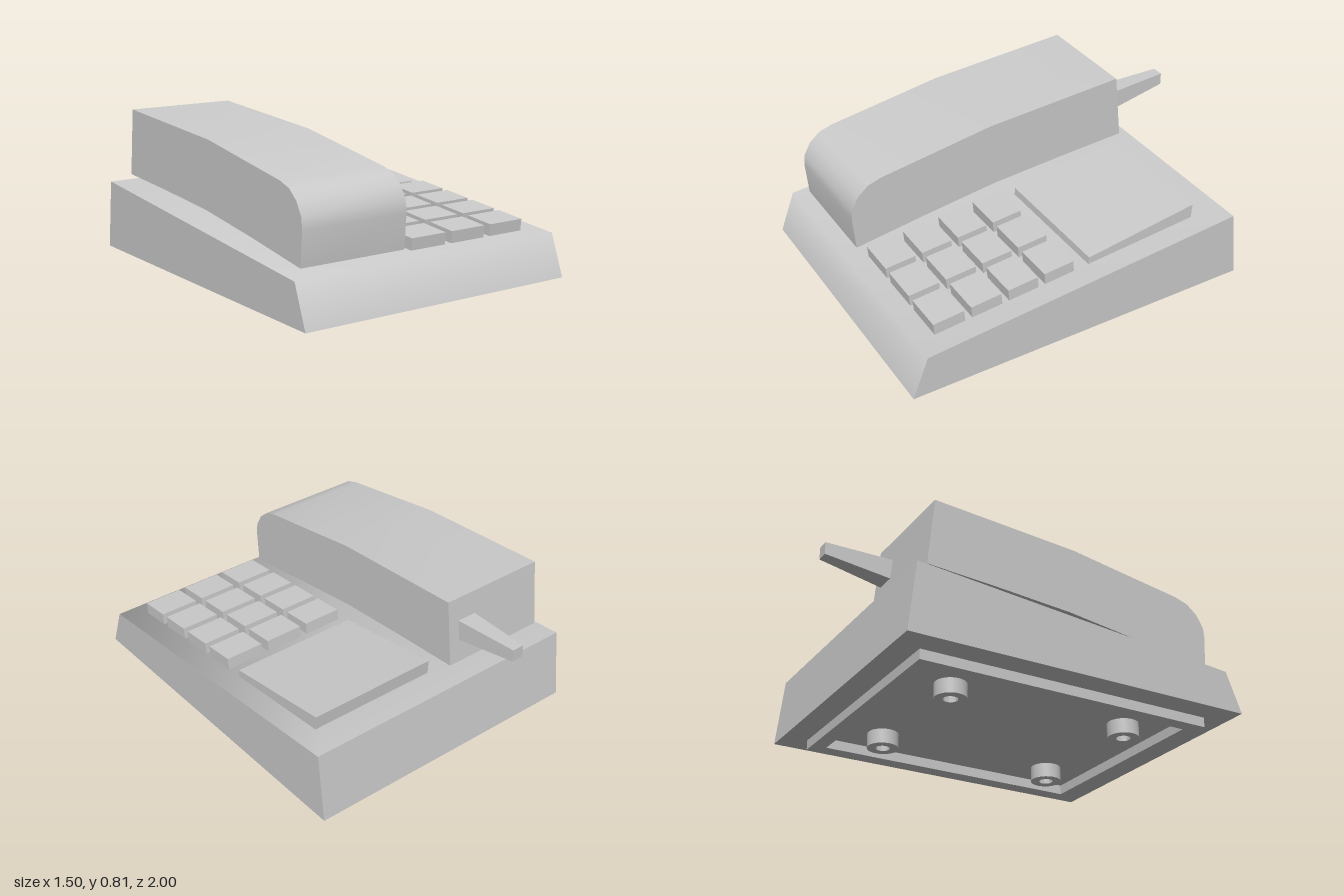
import * as THREE from 'three';
import { toCreasedNormals } from 'three/addons/utils/BufferGeometryUtils.js';

const material = new THREE.MeshStandardMaterial({ color: 0xcccccc });

// Side profile of [z, y] points, extruded across x0..x1
function sideExtrude(points, x0, x1, crease = 0.5) {
  const shape = new THREE.Shape(points.map(([z, y]) => new THREE.Vector2(z, y)));
  const geo = new THREE.ExtrudeGeometry(shape, { depth: x1 - x0, bevelEnabled: false });
  geo.rotateY(-Math.PI / 2).translate(x1, 0, 0);
  return toCreasedNormals(geo, crease);
}

export function createModel() {
  const group = new THREE.Group();
  const add = (name, geo, parent = group) => {
    const mesh = new THREE.Mesh(geo, material);
    mesh.name = name;
    parent.add(mesh);
    return mesh;
  };

  // Sloping desk housing
  const slope = Math.atan2(0.145, 1.69);
  const deckY = (z) => 0.28 + (0.92 - z) * Math.tan(slope);
  add('housing', sideExtrude([[1, 0.075], [0.92, 0.28], [-0.77, 0.425], [-0.81, 0.075]], -0.75, 0.75, 1.15));

  // Hollow rim underneath
  const rect = (Type, w, d) => new Type([[-w, -d], [w, -d], [w, d], [-w, d]].map(([x, y]) => new THREE.Vector2(x, y)));
  const rimShape = rect(THREE.Shape, 0.62, 0.777);
  rimShape.holes.push(rect(THREE.Path, 0.545, 0.702));
  const rim = new THREE.ExtrudeGeometry(rimShape, { depth: 0.05, bevelEnabled: false });
  add('bottomRim', rim.rotateX(-Math.PI / 2).translate(0, 0.025, 0.094));

  // Four ring feet
  const ring = [[0.036, 0], [0.079, 0], [0.079, 0.075], [0.036, 0.075], [0.036, 0]];
  const footGeo = toCreasedNormals(new THREE.LatheGeometry(ring.map(([r, y]) => new THREE.Vector2(r, y)), 32), 0.6);
  for (const x of [-0.354, 0.354]) {
    for (const z of [0.577, -0.386]) add('foot', footGeo).position.set(x, 0, z);
  }

  // Handset
  const handset = new THREE.Group();
  handset.name = 'handset';
  group.add(handset);
  add('handsetBody', sideExtrude([
    [0.855, 0.31], [0.868, 0.48], [0.862, 0.535], [0.825, 0.6], [0.77, 0.645], [0.7, 0.667],
    [0.4, 0.713], [0.1, 0.76], [-0.65, 0.81], [-0.685, 0.47], [-0.3, 0.447], [0.07, 0.42], [0.45, 0.37],
  ], -0.675, -0.11, 0.9), handset);

  // Round mouthpiece and earpiece under the handset
  const capsule = new THREE.CylinderGeometry(0.2, 0.2, 0.06, 32);
  for (const [name, y, z, tilt] of [['mouthpiece', 0.356, 0.62, 0.14], ['earpiece', 0.458, -0.41, 0.065]]) {
    const mesh = add(name, capsule, handset);
    mesh.position.set(-0.39, y, z);
    mesh.rotation.x = tilt;
  }

  // Tapered square antenna at the back of the handset
  const antenna = new THREE.BoxGeometry(2, 2, 1);
  const pos = antenna.attributes.position;
  for (let i = 0; i < pos.count; i++) {
    const tip = pos.getZ(i) < 0;
    const up = pos.getY(i) > 0;
    pos.setXYZ(i, -0.222 + pos.getX(i) * (tip ? 0.031 : 0.052),
      tip ? (up ? 0.7 : 0.638) : (up ? 0.69 : 0.587), tip ? -1 : (up ? -0.655 : -0.67));
  }
  antenna.computeVertexNormals();
  add('antenna', antenna, handset);

  // Raised display wedge
  add('display', sideExtrude([[0, 0.35], [-0.005, 0.396], [-0.605, 0.482], [-0.6, 0.4]], -0.045, 0.632));

  // Keypad, three columns by four rows, lying on the sloping deck
  const keypad = new THREE.Group();
  keypad.name = 'keypad';
  group.add(keypad);
  const keyGeo = new THREE.BoxGeometry(0.201, 0.08, 0.159);
  for (let row = 0; row < 4; row++) {
    for (let col = 0; col < 3; col++) {
      const z = 0.161 + row * 0.195;
      const key = add('key', keyGeo, keypad);
      key.position.set(0.056 + col * 0.2385, deckY(z) + 0.019, z);
      key.rotation.x = slope;
    }
  }
  return group;
}
